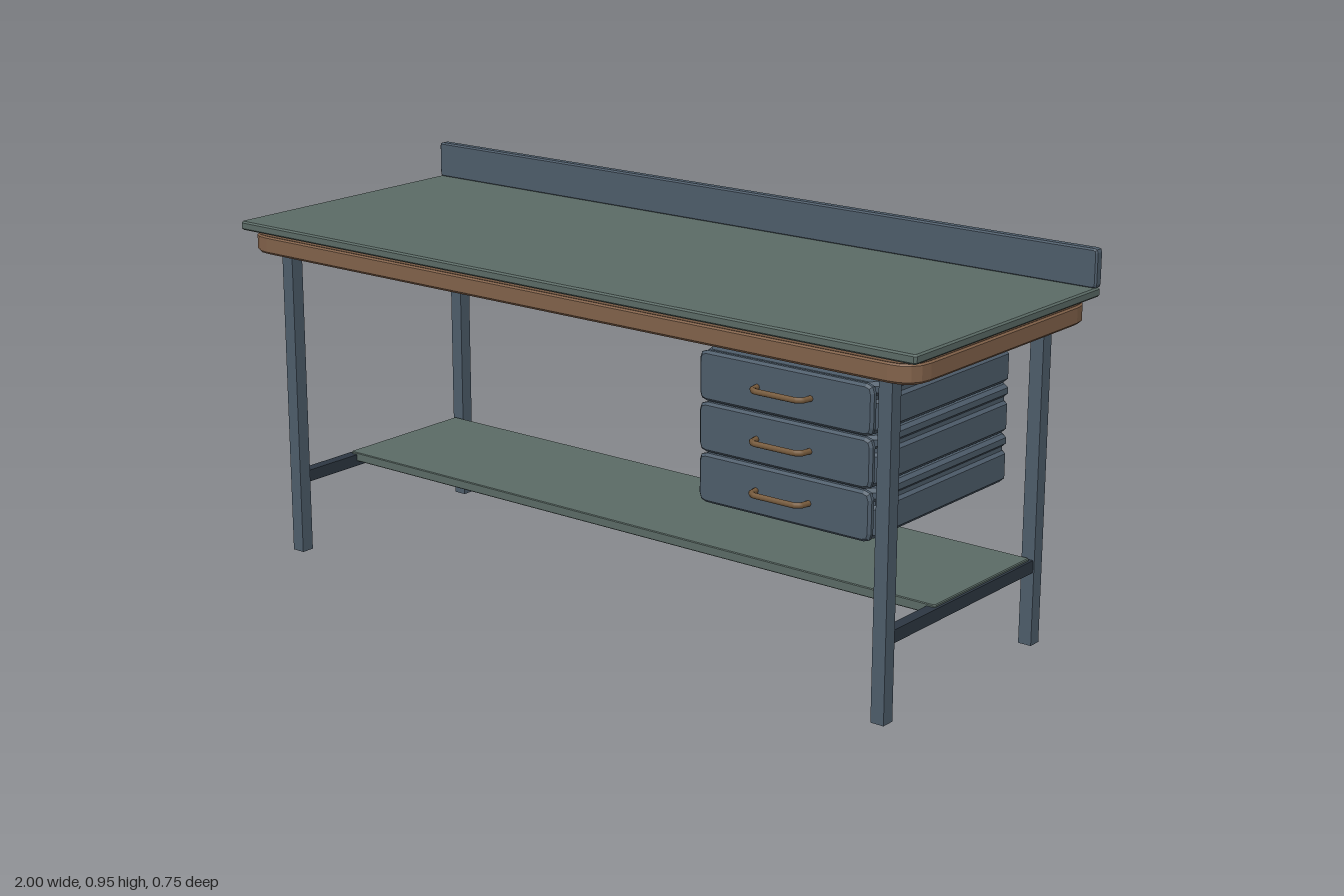
import * as THREE from 'three';

const material = (name, color) => {
  const m = new THREE.MeshStandardMaterial({ color });
  m.name = name;
  return m;
};

// Rounded rectangle outline centred on the origin
function outline(w, h, r) {
  const s = new THREE.Shape();
  const x = w / 2, y = h / 2;
  s.moveTo(-x + r, -y);
  s.lineTo(x - r, -y);
  s.quadraticCurveTo(x, -y, x, -y + r);
  s.lineTo(x, y - r);
  s.quadraticCurveTo(x, y, x - r, y);
  s.lineTo(-x + r, y);
  s.quadraticCurveTo(-x, y, -x, y - r);
  s.lineTo(-x, -y + r);
  s.quadraticCurveTo(-x, -y, -x + r, -y);
  return s;
}

// Extruded plate with bevelled rims, centred, thickness along z
function plate(w, h, t, r, bevel, segments = 4) {
  const g = new THREE.ExtrudeGeometry(outline(w - 2 * bevel, h - 2 * bevel, r), {
    depth: t - 2 * bevel, bevelEnabled: true, bevelThickness: bevel,
    bevelSize: bevel, bevelSegments: 1, curveSegments: segments,
  });
  return g.translate(0, 0, -(t - 2 * bevel) / 2);
}

// Same plate lying flat, thickness along y
const slab = (w, d, t, r, bevel, segments) =>
  plate(w, d, t, r, bevel, segments).rotateX(-Math.PI / 2);

export function createModel() {
  const mat = material('green mat', 0x5b6b66);
  const steel = material('blue steel', 0x4e5d6b);
  const darkSteel = material('dark steel', 0x2d3742);
  const wood = material('wood', 0x82624a);
  const brass = material('handle bronze', 0x765a3c);

  const model = new THREE.Group();
  model.name = 'workbench';
  const add = (parent, name, geometry, mtl, x, y, z) => {
    const mesh = new THREE.Mesh(geometry, mtl);
    mesh.name = name;
    mesh.position.set(x, y, z);
    parent.add(mesh);
    return mesh;
  };

  // Worktop: wooden slab in two layers, covered by a thin mat
  add(model, 'woodTop', slab(1.976, 0.72, 0.047, 0.06, 0.006), wood, 0, 0.8035, 0);
  add(model, 'woodTopRim', slab(1.97, 0.714, 0.012, 0.06, 0.002), wood, 0, 0.83, 0);
  add(model, 'workMat', slab(2, 0.745, 0.022, 0.003, 0.004, 1), mat, 0, 0.845, 0);

  // Upright board along the back edge
  add(model, 'backBoard', plate(2, 0.092, 0.025, 0.006, 0.004, 2), steel, 0, 0.9, -0.3615);

  // Legs and the side rails between them
  for (const side of [1, -1]) {
    for (const end of [1, -1]) {
      add(model, 'leg', new THREE.BoxGeometry(0.034, 0.782, 0.034), steel,
        side * 0.893, 0.391, end * 0.303);
    }
    add(model, 'sideRail', new THREE.BoxGeometry(0.028, 0.03, 0.574), darkSteel,
      side * 0.893, 0.195, 0);
  }

  // Low shelf towards the back
  add(model, 'lowerShelf', slab(1.8, 0.396, 0.023, 0.003, 0.002, 1), mat, 0, 0.204, -0.083);

  // Handle: a bowed bar
  const bow = new THREE.CurvePath();
  const points = [[-0.072, -0.008], [-0.067, 0.022], [-0.054, 0.031],
    [0.054, 0.031], [0.067, 0.022], [0.072, -0.008]]
    .map(([x, z]) => new THREE.Vector3(x, 0, z));
  for (let i = 1; i < points.length; i++) bow.add(new THREE.LineCurve3(points[i - 1], points[i]));
  const handleGeometry = new THREE.TubeGeometry(bow, 40, 0.007, 8);

  // Three stacked drawers
  for (let i = 0; i < 3; i++) {
    const drawer = new THREE.Group();
    drawer.name = 'drawer';
    drawer.position.set(0.639, 0.702 - i * 0.1173, 0);
    model.add(drawer);
    add(drawer, 'drawerBody', slab(0.456, 0.55, 0.078, 0.014, 0.01, 1), steel, 0, -0.018, 0.045);
    add(drawer, 'drawerGroove', slab(0.442, 0.534, 0.02, 0.014, 0.001, 1), steel, 0, 0.025, 0.045);
    add(drawer, 'drawerRim', slab(0.456, 0.55, 0.03, 0.014, 0.008, 1), steel, 0, 0.042, 0.045);
    add(drawer, 'drawerFront', plate(0.46, 0.114, 0.02, 0.014, 0.006, 2), steel, 0, 0, 0.321);
    add(drawer, 'drawerHandle', handleGeometry, brass, 0, 0, 0.331);
  }

  return model;
}
